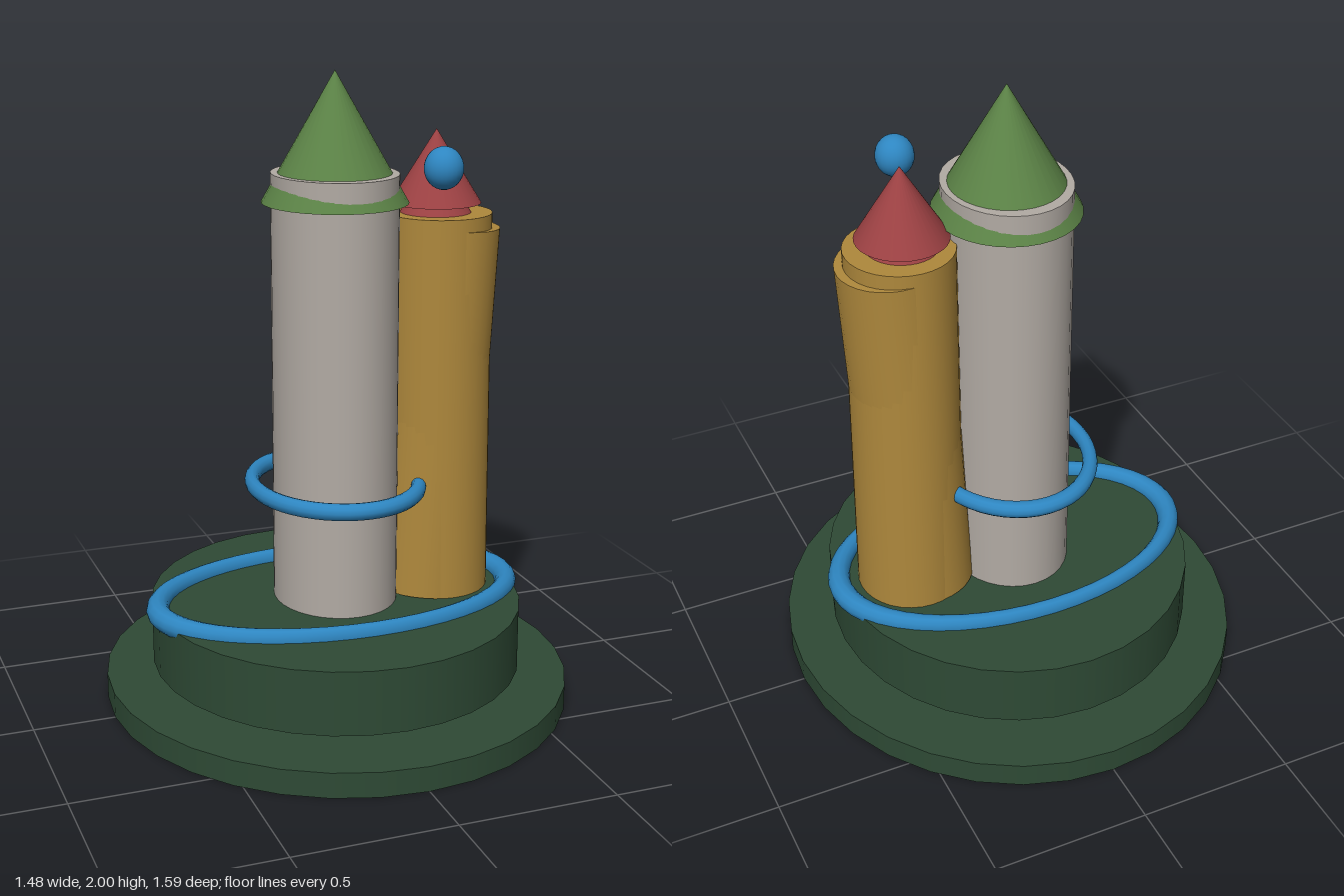
import * as THREE from 'three';

const mat = (name, color) => {
  const m = new THREE.MeshStandardMaterial({ color });
  m.name = name;
  return m;
};

export function createModel() {
  const group = new THREE.Group();
  const darkGreen = mat('dark green', 0x2e4a35);
  const stone = mat('stone grey', 0xb2aba4);
  const leaf = mat('leaf green', 0x5b8246);
  const brick = mat('brick red', 0x9c4143);
  const ochre = mat('ochre', 0xae883c);
  const blue = mat('blue', 0x2e86c1);

  const add = (name, geometry, material, x, y, z = 0) => {
    const mesh = new THREE.Mesh(geometry, material);
    mesh.name = name;
    mesh.position.set(x, y, z);
    group.add(mesh);
    return mesh;
  };

  // Upright oval drum between two heights; taper is top radius over bottom radius
  const drum = (name, material, x, y0, y1, rx, rz, taper = 1) => {
    const g = new THREE.CylinderGeometry(taper, 1, y1 - y0, 32);
    g.scale(rx, 1, rz);
    return add(name, g, material, x, (y0 + y1) / 2);
  };

  // Oval cone standing on y0 with its tip at y1
  const spire = (name, material, x, y0, y1, rx, rz) => {
    const g = new THREE.ConeGeometry(1, y1 - y0, 32);
    g.scale(rx, 1, rz);
    return add(name, g, material, x, (y0 + y1) / 2);
  };

  // Flat-lying oval ring
  const ring = (name, y, rx, rz, R, tube) => {
    const g = new THREE.TorusGeometry(R, tube, 12, 48);
    g.rotateX(Math.PI / 2);
    g.scale(rx / R, 1, rz / R);
    return add(name, g, blue, 0, y);
  };

  // Two-step base with a narrow gap
  drum('lowerBase', darkGreen, 0, 0, 0.08, 0.74, 0.793);
  drum('upperBase', darkGreen, 0, 0.115, 0.32, 0.59, 0.628);

  // Main tower, its rim standing proud of the roof
  drum('mainTower', stone, 0, 0.31, 1.69, 0.195, 0.224);
  spire('mainRoof', leaf, 0, 1.6, 2.0, 0.226, 0.24);

  // Side tower with a leaning companion drum
  drum('sideTower', ochre, 0.346, 0.31, 1.55, 0.174, 0.179, 0.965);
  const lean = drum('leaningTower', ochre, 0.341, 0.32, 1.51, 0.165, 0.172);
  lean.rotation.z = -0.06;

  // Stacked roof on the side tower
  spire('sideRoofLower', brick, 0.336, 1.5, 1.73, 0.142, 0.144);
  spire('sideRoofUpper', brick, 0.336, 1.58, 1.81, 0.142, 0.144);

  // Rings and floating ball
  ring('towerRing', 0.7, 0.26, 0.306, 0.3, 0.027);
  ring('baseRing', 0.322, 0.586, 0.359, 0.586, 0.037);
  const ball = add('ball', new THREE.SphereGeometry(1, 24, 16), blue, 0.26, 1.722, 0.232);
  ball.scale.set(0.06, 0.065, 0.061);

  return group;
}
